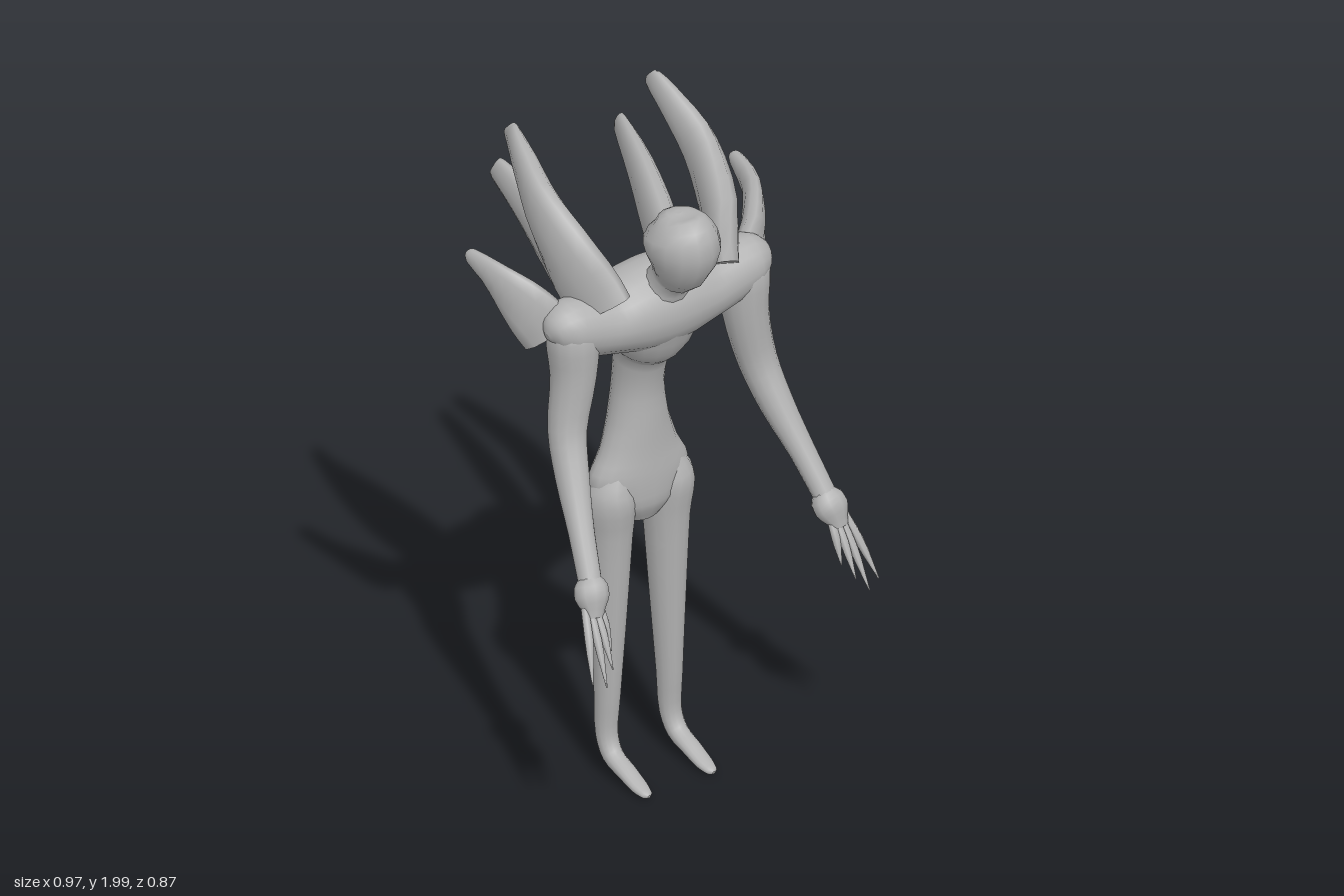
import * as THREE from 'three';

const V = (x, y, z) => new THREE.Vector3(x, y, z);

// Smooth elliptical loft. Section: [x, y, z, a, b]; b is measured along the hint, a across it.
function loft(sections, hint, segs = 14, steps = 3) {
  const path = new THREE.CatmullRomCurve3(sections.map(s => V(s[0], s[1], s[2])), false, 'centripetal');
  const radii = new THREE.CatmullRomCurve3(sections.map(s => V(s[3], s[4], 0)), false, 'centripetal');
  const rings = (sections.length - 1) * steps;
  const pos = [], index = [];
  const centres = [];
  for (let i = 0; i <= rings; i++) {
    const k = i / rings;
    const p = path.getPoint(k), r = radii.getPoint(k), t = path.getTangent(k);
    const v = hint.clone().addScaledVector(t, -hint.dot(t)).normalize();
    const u = v.clone().cross(t);
    centres.push(p);
    for (let j = 0; j < segs; j++) {
      const w = j / segs * Math.PI * 2;
      const q = p.clone()
        .addScaledVector(u, Math.cos(w) * Math.max(r.x, 0.001))
        .addScaledVector(v, Math.sin(w) * Math.max(r.y, 0.001));
      pos.push(q.x, q.y, q.z);
    }
  }
  for (let i = 0; i < rings; i++) {
    for (let j = 0; j < segs; j++) {
      const n = (j + 1) % segs;
      const a = i * segs + j, b = i * segs + n, c = b + segs, d = a + segs;
      index.push(a, b, c, a, c, d);
    }
  }
  // flat end caps on their own vertices
  for (const end of [0, rings]) {
    const base = pos.length / 3;
    pos.push(...pos.slice(end * segs * 3, (end + 1) * segs * 3));
    pos.push(centres[end].x, centres[end].y, centres[end].z);
    for (let j = 0; j < segs; j++) {
      const n = (j + 1) % segs;
      if (end) index.push(base + segs, base + j, base + n);
      else index.push(base + segs, base + n, base + j);
    }
  }
  const g = new THREE.BufferGeometry();
  g.setAttribute('position', new THREE.Float32BufferAttribute(pos, 3));
  g.setIndex(index);
  g.computeVertexNormals();
  return g;
}

export function createModel() {
  const model = new THREE.Group();
  const grey = new THREE.MeshStandardMaterial({ color: 0xb2b2b2 });
  grey.name = 'grey';
  const up = V(0, 1, 0), forward = V(0, 0, 1);

  const add = (name, sections, hint, segs, steps) => {
    const mesh = new THREE.Mesh(loft(sections, hint, segs, steps), grey);
    mesh.name = name;
    model.add(mesh);
  };
  const addPair = (name, sections, hint, segs, steps) => {
    for (const [side, s] of [['left', 1], ['right', -1]])
      add(side + name, sections.map(([x, ...rest]) => [s * x, ...rest]), hint, segs, steps);
  };

  // Head and neck
  add('head', [
    [0, 1.56, 0.08, 0.085, 0.07], [0, 1.625, 0.115, 0.055, 0.06], [0, 1.67, 0.15, 0.078, 0.09],
    [0, 1.75, 0.167, 0.105, 0.118], [0, 1.80, 0.16, 0.086, 0.1], [0, 1.832, 0.15, 0.055, 0.055],
    [0, 1.839, 0.15, 0.01, 0.01]], forward, 14, 2);

  // Torso, waist and hips
  add('torso', [
    [0, 0.79, -0.04, 0.06, 0.05], [0, 0.85, -0.04, 0.13, 0.078], [0, 0.93, -0.04, 0.16, 0.08],
    [0, 1.01, -0.04, 0.122, 0.075], [0, 1.1, -0.042, 0.092, 0.075], [0, 1.22, -0.04, 0.074, 0.073],
    [0, 1.33, -0.02, 0.078, 0.08], [0, 1.4, 0.01, 0.13, 0.11], [0, 1.48, 0.03, 0.16, 0.12]], forward, 20);

  // Chest spanning both shoulders
  const half = [
    [0.372, 1.52, 0.05, 0.012, 0.012], [0.355, 1.525, 0.05, 0.05, 0.05], [0.315, 1.528, 0.048, 0.078, 0.08],
    [0.25, 1.515, 0.045, 0.088, 0.09], [0.17, 1.5, 0.035, 0.108, 0.098], [0.08, 1.5, 0.03, 0.125, 0.125]];
  add('chest', [
    ...half.map(([x, ...r]) => [-x, ...r]), [0, 1.5, 0.03, 0.13, 0.132], ...half.slice().reverse()], up, 18);

  // Legs running into pointed feet
  addPair('Leg', [
    [0.085, 0.95, -0.04, 0.05, 0.06], [0.098, 0.87, -0.042, 0.077, 0.085], [0.097, 0.76, -0.04, 0.066, 0.07],
    [0.1, 0.5, -0.038, 0.051, 0.054], [0.105, 0.25, -0.037, 0.037, 0.04], [0.108, 0.12, -0.035, 0.032, 0.032],
    [0.11, 0.066, -0.005, 0.03, 0.028], [0.11, 0.042, 0.06, 0.029, 0.021], [0.11, 0.022, 0.12, 0.026, 0.016],
    [0.11, 0.014, 0.155, 0.017, 0.011], [0.11, 0.013, 0.165, 0.004, 0.004]], V(0, 1, 1), 14);

  // Arms
  addPair('Arm', [
    [0.285, 1.57, 0.05, 0.04, 0.04], [0.288, 1.5, 0.055, 0.078, 0.075], [0.292, 1.38, 0.062, 0.066, 0.066],
    [0.322, 1.22, 0.075, 0.056, 0.056], [0.345, 1.1, 0.13, 0.048, 0.05], [0.375, 0.97, 0.215, 0.037, 0.037],
    [0.4, 0.85, 0.292, 0.033, 0.033]], forward, 14);

  // Wrist cuffs and hands
  addPair('Cuff', [
    [0.396, 0.872, 0.28, 0.03, 0.03], [0.4, 0.85, 0.292, 0.05, 0.042], [0.406, 0.825, 0.306, 0.052, 0.043],
    [0.412, 0.795, 0.325, 0.034, 0.026], [0.416, 0.775, 0.337, 0.025, 0.015]], forward, 10, 2);

  // Clawed fingers
  const tips = [[0.39, 0.68, 0.375], [0.412, 0.645, 0.412], [0.445, 0.607, 0.43], [0.485, 0.625, 0.418]];
  tips.forEach(([x, y, z], i) => {
    const bx = 0.392 + i * 0.016, by = 0.805, bz = 0.318;
    addPair('Finger' + (i + 1), [
      [bx, by, bz, 0.012, 0.012],
      [bx * 0.6 + x * 0.4, by * 0.6 + y * 0.4, bz * 0.6 + z * 0.4 + 0.005, 0.014, 0.013],
      [x, y, z, 0.002, 0.002]], forward, 6, 3);
  });

  // Shoulder blades: tall front pair, swept back pair, short outer pair
  addPair('FrontSpike', [
    [0.205, 1.565, 0.08, 0.042, 0.1], [0.248, 1.7, -0.005, 0.05, 0.098], [0.268, 1.82, -0.115, 0.043, 0.078],
    [0.255, 1.905, -0.215, 0.033, 0.055], [0.24, 1.965, -0.3, 0.017, 0.038],
    [0.24, 1.974, -0.31, 0.01, 0.028]], up, 10);
  addPair('BackSpike', [
    [0.135, 1.46, -0.05, 0.04, 0.09], [0.158, 1.59, -0.15, 0.043, 0.092], [0.185, 1.705, -0.28, 0.034, 0.07],
    [0.207, 1.778, -0.405, 0.018, 0.042], [0.21, 1.785, -0.418, 0.012, 0.035]], up, 10);
  addPair('OuterSpike', [
    [0.335, 1.5, 0.01, 0.035, 0.085], [0.385, 1.585, -0.03, 0.034, 0.08], [0.428, 1.65, -0.1, 0.026, 0.055],
    [0.447, 1.685, -0.2, 0.02, 0.024], [0.448, 1.687, -0.213, 0.014, 0.015]], up, 10);

  return model;
}
